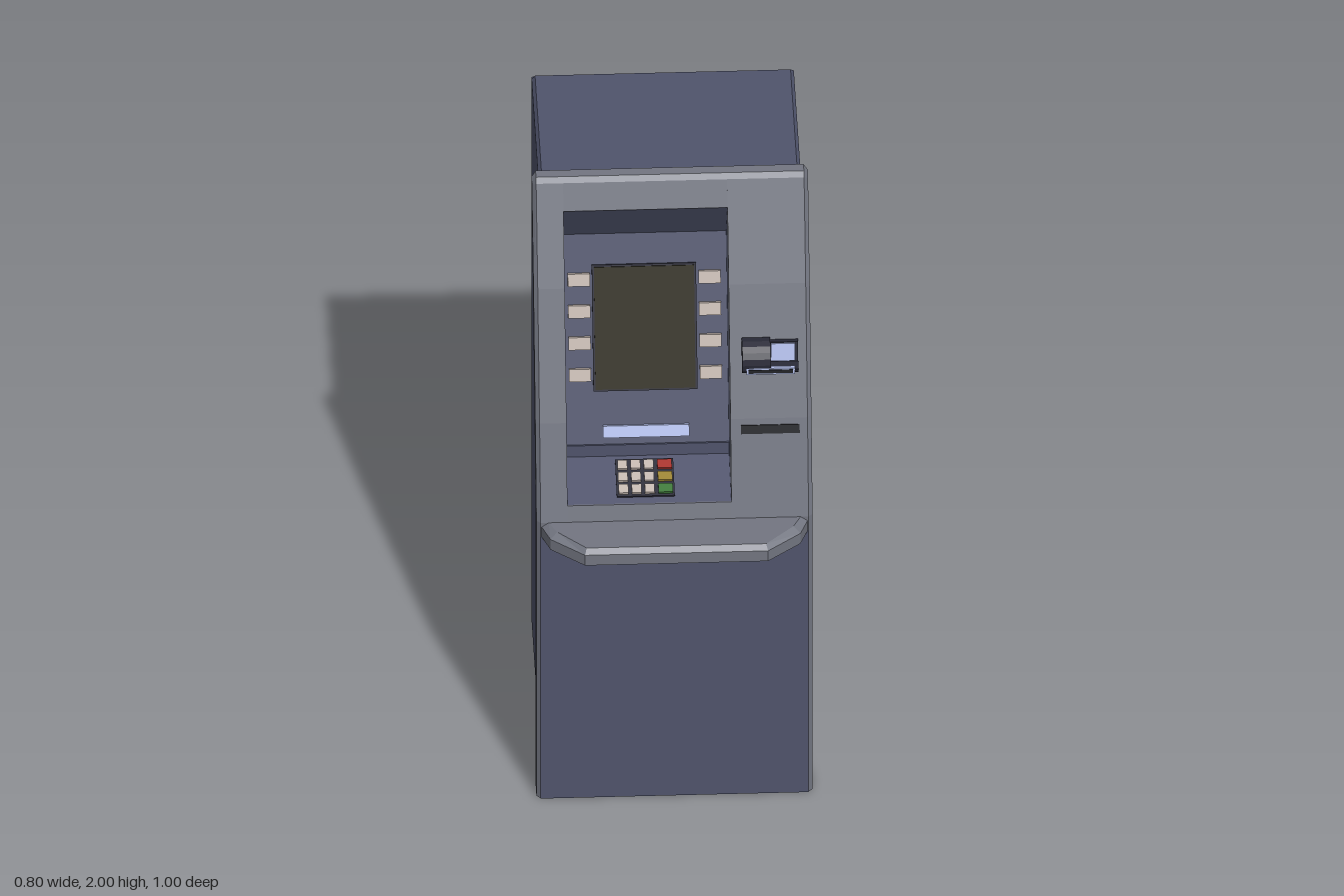
import * as THREE from 'three';

const COLORS = {
  body: 0x50546c, frame: 0x737681, dark: 0x2a2b38, slot: 0x232428, screen: 0x2b2818,
  key: 0xc4b8b0, light: 0xb6c2ee, red: 0xa83028, yellow: 0x9c8430, green: 0x3c7838,
};
const mats = {};
const mat = (c) => (mats[c] ??= new THREE.MeshStandardMaterial({ color: COLORS[c], flatShading: true }));

// Solid through matching outlines. Axis 'x': points are [z, y]; axis 'y': points are [x, z].
function loft(axis, sections) {
  const place = axis === 'x' ? (t, [a, b]) => [t, b, a] : (t, [a, b]) => [a, t, b];
  const pos = [];
  const tri = (a, b, c) => pos.push(...a, ...c, ...b);
  const flat = sections[0].pts.map((p) => new THREE.Vector2(...p));
  const reverse = THREE.ShapeUtils.area(flat) < 0;
  const rings = sections.map(({ t, pts }) => {
    const ring = pts.map((p) => place(t, p));
    return reverse ? ring.reverse() : ring;
  });
  if (reverse) flat.reverse();
  const n = flat.length;
  for (let s = 0; s + 1 < rings.length; s++) {
    const [lo, hi] = [rings[s], rings[s + 1]];
    for (let i = 0; i < n; i++) {
      const j = (i + 1) % n;
      tri(lo[i], lo[j], hi[j]);
      tri(lo[i], hi[j], hi[i]);
    }
  }
  const first = rings[0], last = rings[rings.length - 1];
  for (const [a, b, c] of THREE.ShapeUtils.triangulateShape(flat, [])) {
    tri(first[a], first[c], first[b]);
    tri(last[a], last[b], last[c]);
  }
  const g = new THREE.BufferGeometry();
  g.setAttribute('position', new THREE.Float32BufferAttribute(pos, 3));
  g.computeVertexNormals();
  return g;
}

function add(parent, name, geometry, color, x = 0, y = 0, z = 0) {
  const m = new THREE.Mesh(geometry, mat(color));
  m.name = name;
  m.position.set(x, y, z);
  parent.add(m);
  return m;
}
const box = (parent, name, color, w, h, d, x, y, z) =>
  add(parent, name, new THREE.BoxGeometry(w, h, d), color, x, y, z);

function tilted(parent, name, y, z, angle) {
  const g = new THREE.Group();
  g.name = name;
  g.position.set(0, y, z);
  g.rotation.x = angle;
  parent.add(g);
  return g;
}

export function createModel() {
  const root = new THREE.Group();
  root.name = 'cashMachine';
  const L = -0.31, R = 0.165; // recess sides

  // Cabinet: two full side slices with bevelled tops, and a recessed middle slice
  const bodySide = [[-0.5, 0], [-0.5, 1.97], [-0.49, 1.98], [-0.02, 1.98], [0.08, 1.69], [0.2, 1.3], [0.27, 1], [0.27, 0]];
  const bodyEdge = bodySide.map(([z, y]) => [z, Math.min(y, 1.968)]);
  add(root, 'cabinetRight', loft('x', [{ t: -0.38, pts: bodyEdge }, { t: -0.37, pts: bodySide }, { t: L, pts: bodySide }]), 'body');
  add(root, 'cabinetLeft', loft('x', [{ t: R, pts: bodySide }, { t: 0.37, pts: bodySide }, { t: 0.38, pts: bodyEdge }]), 'body');
  const recess = [[-0.5, 0], [-0.5, 1.97], [-0.49, 1.98], [-0.02, 1.98], [0.062, 1.904], [-0.03, 1.75],
    [0.175, 1.14], [0.18, 1.14], [0.18, 1.1], [0.345, 1.052], [0.27, 1], [0.27, 0]];
  add(root, 'cabinetRecess', loft('x', [{ t: L, pts: recess }, { t: R, pts: recess }]), 'body');

  // Bent fascia frame with chamfered outer edges
  const frame = [[0.36, 0], [0.36, 1], [0.28, 1.3], [0.15, 1.69], [0.034, 1.985], [0.022, 2], [-0.01, 2],
    [-0.022, 1.985], [0.08, 1.69], [0.2, 1.3], [0.27, 1], [0.27, 0]];
  const frameEdge = frame.map(([z, y], i) => [z + (i < 6 ? -0.012 : 0.012), y > 1.9 ? y - 0.012 : y]);
  add(root, 'frameRight', loft('x', [{ t: -0.4, pts: frameEdge }, { t: -0.388, pts: frame }, { t: L, pts: frame }]), 'frame');
  add(root, 'frameLeft', loft('x', [{ t: R, pts: frame }, { t: 0.388, pts: frame }, { t: 0.4, pts: frameEdge }]), 'frame');
  const frameTop = [[0.064, 1.905], ...frame.slice(4, 8), [0.006, 1.905]];
  const frameBottom = [[0.36, 0], [0.36, 1], [0.347, 1.05], [0.258, 1.05], [0.27, 1], [0.27, 0]];
  add(root, 'frameTop', loft('x', [{ t: L, pts: frameTop }, { t: R, pts: frameTop }]), 'frame');
  add(root, 'frameBottom', loft('x', [{ t: L, pts: frameBottom }, { t: R, pts: frameBottom }]), 'frame');
  box(root, 'lowerDoor', 'body', 0.776, 0.95, 0.013, 0, 0.475, 0.3555);

  // Shelf with cut corners and a bevelled top edge
  const shelf = [[-0.385, 0.35], [-0.385, 0.36], [-0.362, 0.42], [-0.265, 0.5], [0.265, 0.5], [0.362, 0.42], [0.385, 0.36], [0.385, 0.35]];
  const shelfTop = shelf.map(([x, z]) => [x - Math.sign(x) * (z < 0.49 ? 0.02 : 0.005), z > 0.4 ? z - 0.015 : z]);
  add(root, 'shelf', loft('y', [{ t: 0.948, pts: shelf }, { t: 0.985, pts: shelf }, { t: 1, pts: shelfTop }]), 'frame');

  // Sloping display panel; local y follows the slope
  const lean = Math.atan2(0.205, 0.61);
  const panel = tilted(root, 'displayPanel', 1.14, 0.175, -lean);
  const up = (y) => (y - 1.14) / Math.cos(lean);
  box(panel, 'screenBezel', 'dark', 0.302, 0.386, 0.008, -0.075, up(1.478), 0.002);
  box(panel, 'screen', 'screen', 0.29, 0.374, 0.012, -0.075, up(1.478), 0.003);
  for (const x of [-0.264, 0.115]) {
    for (let i = 0; i < 4; i++) box(panel, 'screenButton', 'key', 0.064, 0.038, 0.016, x, up(1.62 - i * 0.092), 0.004);
  }
  box(panel, 'receiptSlot', 'light', 0.25, 0.036, 0.016, -0.075, up(1.178), 0.002);

  // Keypad on the sloping tray; local z follows the slope
  const slope = Math.atan2(0.048, 0.165);
  const tray = tilted(root, 'keypad', 1.1, 0.18, slope);
  box(tray, 'keypadBase', 'dark', 0.168, 0.008, 0.134, -0.082, 0.001, 0.083);
  ['red', 'yellow', 'green'].forEach((color, row) => {
    const z = (0.038 + row * 0.042) / Math.cos(slope);
    for (let c = 0; c < 3; c++) box(tray, 'numberKey', 'key', 0.028, 0.016, 0.031, -0.146 + c * 0.038, 0.005, z);
    box(tray, 'commandKey', color, 0.042, 0.016, 0.031, -0.024, 0.005, z);
  });

  // Card reader: round housing, cut away on one half to show the card mouth
  const reader = tilted(root, 'cardReader', 1.487, 0.222, 0);
  const arc = (from, to) => Array.from({ length: 17 }, (_, i) => {
    const a = from + ((to - from) * i) / 16;
    return [0.053 * Math.cos(a), 0.053 * Math.sin(a)];
  });
  const round = arc(0, Math.PI * 2 * 16 / 17);
  const cut = [...arc(-Math.PI * 1.25, -0.3), [0.012, -0.016], [0.0, 0.045]];
  add(reader, 'readerHousing', loft('x', [{ t: 0.2, pts: round }, { t: 0.282, pts: round }]), 'dark');
  add(reader, 'readerMouth', loft('x', [{ t: 0.282, pts: cut }, { t: 0.363, pts: cut }]), 'dark');
  const face = box(reader, 'readerLight', 'light', 0.07, 0.056, 0.006, 0.319, 0.015, 0.008);
  face.rotation.x = -0.19;
  box(reader, 'cardSlotRim', 'light', 0.14, 0.022, 0.01, 0.282, -0.022, 0.0465);
  box(reader, 'cardSlot', 'slot', 0.128, 0.012, 0.01, 0.282, -0.022, 0.048);

  // Narrow slot below the card reader
  const slot = box(root, 'receiptOutlet', 'slot', 0.17, 0.027, 0.012, 0.28, 1.267, 0.286);
  slot.rotation.x = -0.26;
  return root;
}
